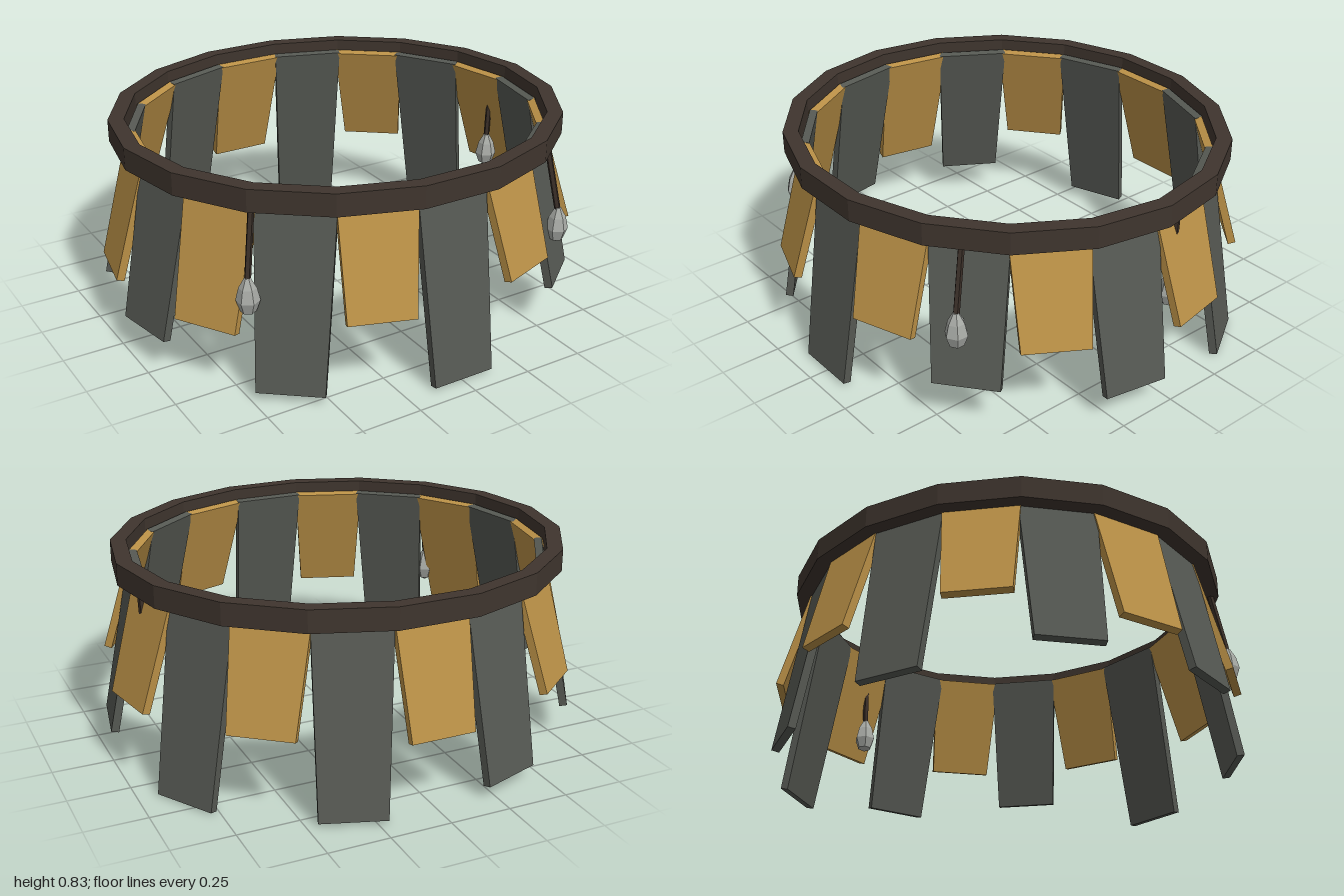
import * as THREE from 'three';

const RAD = Math.PI / 180;
const mat = (color) => new THREE.MeshStandardMaterial({ color, flatShading: true });

// Tapered slat hung inside the band and leaning outwards; angle runs from +z to +x
function slatGeometry(angle, bottomY) {
  const s = Math.sin(angle * RAD), c = Math.cos(angle * RAD);
  const topY = 0.785, thickness = 0.032, apothem = Math.cos(10 * RAD);
  const ring = (a, b) => new THREE.Vector3(a * s * apothem, 0, b * c * apothem);
  const top = ring(0.86, 0.815).setY(topY);
  const bottom = ring(1.0, 0.942).setY(bottomY);
  const tangent = new THREE.Vector3(c, 0, -0.945 * s).normalize();
  const up = top.clone().sub(bottom).normalize();
  const normal = new THREE.Vector3().crossVectors(tangent, up).normalize();

  const geo = new THREE.BoxGeometry(1, 1, 1);
  const pos = geo.attributes.position;
  const v = new THREE.Vector3();
  for (let i = 0; i < pos.count; i++) {
    const isTop = pos.getY(i) > 0;
    v.copy(isTop ? top : bottom)
      .addScaledVector(tangent, pos.getX(i) * (isTop ? 0.305 : 0.262))
      .addScaledVector(normal, (pos.getZ(i) - 0.5) * thickness);
    pos.setXYZ(i, v.x, v.y, v.z);
  }
  geo.computeVertexNormals();
  return geo;
}

// Faceted stone hanging on a cord from the band
function pendant(stonePos, cordTop, stoneMat, cordMat) {
  const group = new THREE.Group();
  const profile = [[0, -0.075], [0.03, -0.06], [0.046, -0.015], [0.034, 0.035], [0.012, 0.075], [0, 0.078]]
    .map(([r, y]) => new THREE.Vector2(r, y));
  const stone = new THREE.Mesh(new THREE.LatheGeometry(profile, 6), stoneMat);
  stone.name = 'stone';
  stone.position.copy(stonePos);

  const end = stonePos.clone().add(new THREE.Vector3(0, 0.06, 0));
  const dir = cordTop.clone().sub(end);
  const cord = new THREE.Mesh(new THREE.CylinderGeometry(0.013, 0.013, dir.length(), 5), cordMat);
  cord.name = 'cord';
  cord.position.copy(end).addScaledVector(dir, 0.5);
  cord.quaternion.setFromUnitVectors(new THREE.Vector3(0, 1, 0), dir.normalize());
  group.add(stone, cord);
  return group;
}

export function createModel() {
  const model = new THREE.Group();
  model.name = 'slattedSkirt';
  const bandMat = mat(0x3f352e), darkMat = mat(0x565953), goldMat = mat(0xbb9147);
  const stoneMat = mat(0xa8aba6), cordMat = mat(0x3a2f28);

  // Eighteen-sided oval band with a rectangular section
  const section = [[0.87, 0.74], [0.935, 0.74], [0.935, 0.83], [0.87, 0.83], [0.87, 0.74]]
    .map(([r, y]) => new THREE.Vector2(r, y));
  const band = new THREE.Mesh(new THREE.LatheGeometry(section, 18, 10 * RAD), bandMat);
  band.name = 'band';
  band.scale.z = 0.945;
  model.add(band);

  // Bottom heights of the slats, every 20 degrees from the front towards +x
  const bottoms = [0.012, 0.36, 0.187, 0.355, 0.112, 0.32, 0.005, 0.342, 0.015,
    0.312, 0.055, 0.33, 0.142, 0.268, 0.14, 0.265, 0.032, 0.33];
  bottoms.forEach((y, i) => {
    const dark = i % 2 === 0;
    const slat = new THREE.Mesh(slatGeometry(i * 20, y), dark ? darkMat : goldMat);
    slat.name = (dark ? 'darkSlat' : 'goldSlat') + i;
    model.add(slat);
  });

  // Three hanging stones: stone centre, then top of the cord
  [
    ['frontLeftPendant', [0.593, 0.425, 0.718], [0.56, 0.77, 0.66]],
    ['frontRightPendant', [-0.728, 0.415, 0.58], [-0.685, 0.77, 0.545]],
    ['sidePendant', [0.865, 0.4, -0.1], [0.875, 0.77, -0.1]],
  ].forEach(([name, stone, top]) => {
    const p = pendant(new THREE.Vector3(...stone), new THREE.Vector3(...top), stoneMat, cordMat);
    p.name = name;
    model.add(p);
  });
  return model;
}
